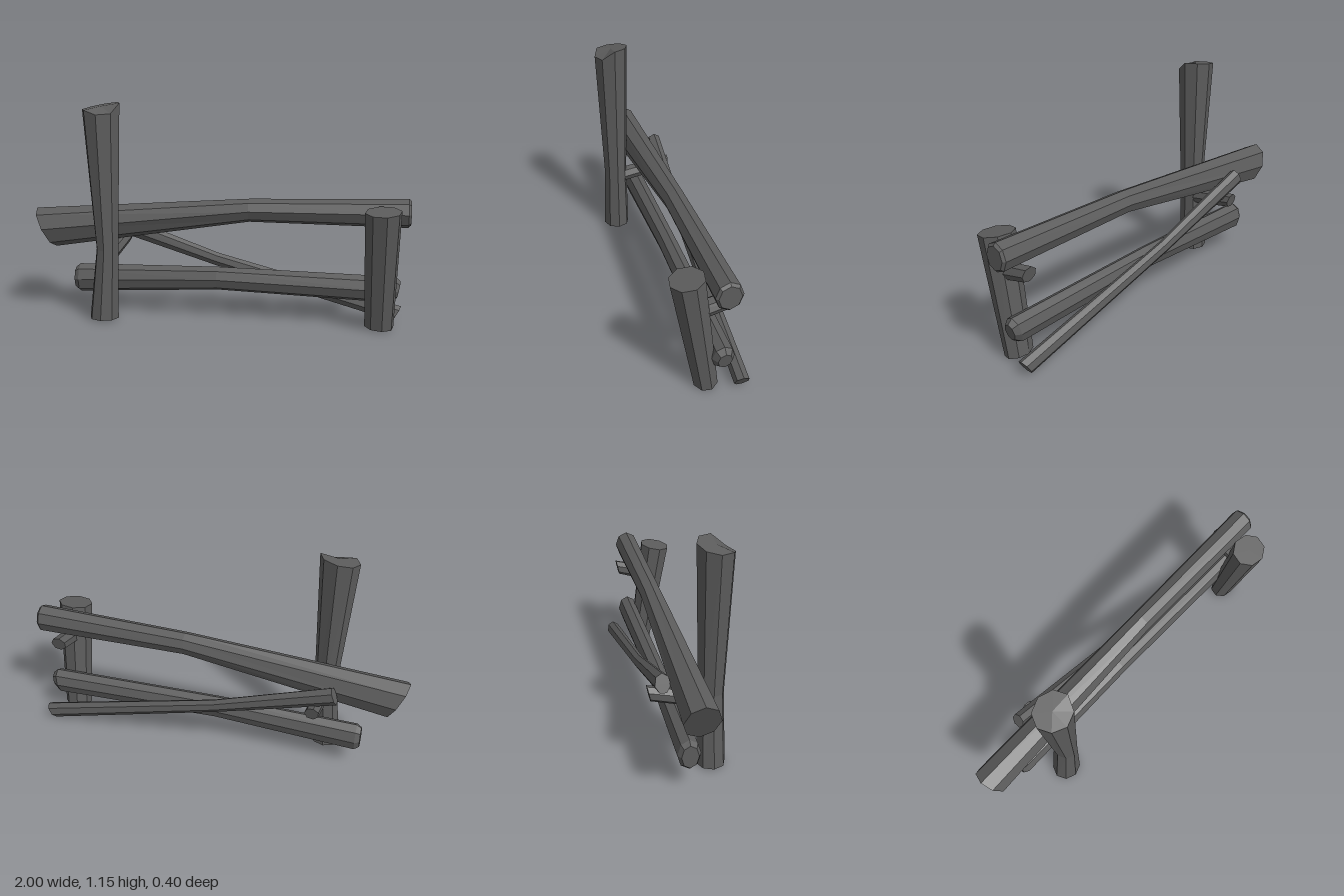
import * as THREE from 'three';

const wood = new THREE.MeshStandardMaterial({ color: 0x5c5c5c, flatShading: true });
wood.name = 'weathered wood';

// Faceted log lofted along a main axis (0 = x, 1 = y, 2 = z).
// Section: [x, y, z, radiusU, radiusV, shearU, shearV]; u and v are the next two axes
// in cyclic order, the shears slant the cut. "chip" lowers chosen corners of the last ring.
function log(name, axis, sections, sides = 8, phase = 0, chip = {}) {
  const u = (axis + 1) % 3, v = (axis + 2) % 3;
  const rings = sections.map(([x, y, z, ru, rv, su = 0, sv = 0], s) => {
    const ring = [];
    for (let i = 0; i < sides; i++) {
      const a = phase + (i / sides) * Math.PI * 2;
      const du = Math.cos(a) * ru, dv = Math.sin(a) * rv;
      const p = [x, y, z];
      p[u] += du;
      p[v] += dv;
      p[axis] += du * su + dv * sv;
      if (s === sections.length - 1) p[axis] -= chip[i] || 0;
      ring.push(p);
    }
    return ring;
  });
  const pos = [];
  const tri = (a, b, c) => pos.push(...a, ...b, ...c);
  const first = sections[0].slice(0, 3), last = sections.at(-1).slice(0, 3);
  for (let i = 0; i < sides; i++) {
    const j = (i + 1) % sides;
    for (let s = 0; s < rings.length - 1; s++) {
      const a = rings[s], b = rings[s + 1];
      tri(a[i], a[j], b[j]);
      tri(a[i], b[j], b[i]);
    }
    tri(first, rings[0][j], rings[0][i]);
    tri(last, rings.at(-1)[i], rings.at(-1)[j]);
  }
  const geo = new THREE.BufferGeometry();
  geo.setAttribute('position', new THREE.Float32BufferAttribute(pos, 3));
  geo.computeVertexNormals();
  const mesh = new THREE.Mesh(geo, wood);
  mesh.name = name;
  return mesh;
}

export function createModel() {
  const fence = new THREE.Group();
  fence.name = 'brokenFence';

  fence.add(
    // Upright posts
    log('tallPost', 1, [
      [-0.587, 0.015, 0.105, 0.073, 0.078],
      [-0.562, 0.39, 0.107, 0.064, 0.059],
      [-0.58, 1.137, 0.11, 0.09, 0.1, -0.1, 0.17],
    ], 8, 0, { 0: 0.03, 1: 0.04 }),
    log('shortPost', 1, [
      [0.855, 0.018, 0.018, 0.06, 0.075, -0.15, -0.05],
      [0.858, 0.635, 0.118, 0.084, 0.092, -0.17, 0.03],
    ], 8, 0.2),

    // Horizontal rails
    log('topRail', 0, [
      [-0.95, 0.467, -0.033, 0.105, 0.087, -0.5],
      [0.17, 0.595, -0.035, 0.061, 0.058],
      [0.985, 0.605, -0.035, 0.075, 0.066],
      [0.998, 0.605, -0.035, 0.062, 0.054],
    ]),
    log('bottomRail', 0, [
      [-0.79, 0.188, -0.045, 0.06, 0.042],
      [-0.765, 0.188, -0.045, 0.078, 0.057],
      [0, 0.218, -0.045, 0.063, 0.05],
      [0.92, 0.2, -0.045, 0.07, 0.055, 0.2],
      [0.95, 0.2, -0.045, 0.045, 0.035, 0.2],
    ]),

    // Fallen diagonal rail at the back
    log('diagonalRail', 0, [
      [-0.645, 0.505, -0.145, 0.046, 0.038, 0.4],
      [-0.02, 0.3, -0.142, 0.034, 0.03, 0.3],
      [0.945, 0.047, -0.135, 0.04, 0.038, 0.6],
    ], 7),

    // Pegs joining the posts and rails
    log('leftPeg', 2, [
      [-0.545, 0.405, -0.193, 0.038, 0.04, 0, -0.2],
      [-0.56, 0.35, 0.08, 0.04, 0.042],
    ], 7),
    log('rightPeg', 2, [
      [0.87, 0.5, -0.112, 0.042, 0.042, 0, -0.2],
      [0.865, 0.45, 0.08, 0.044, 0.046],
    ], 7),
  );

  return fence;
}
